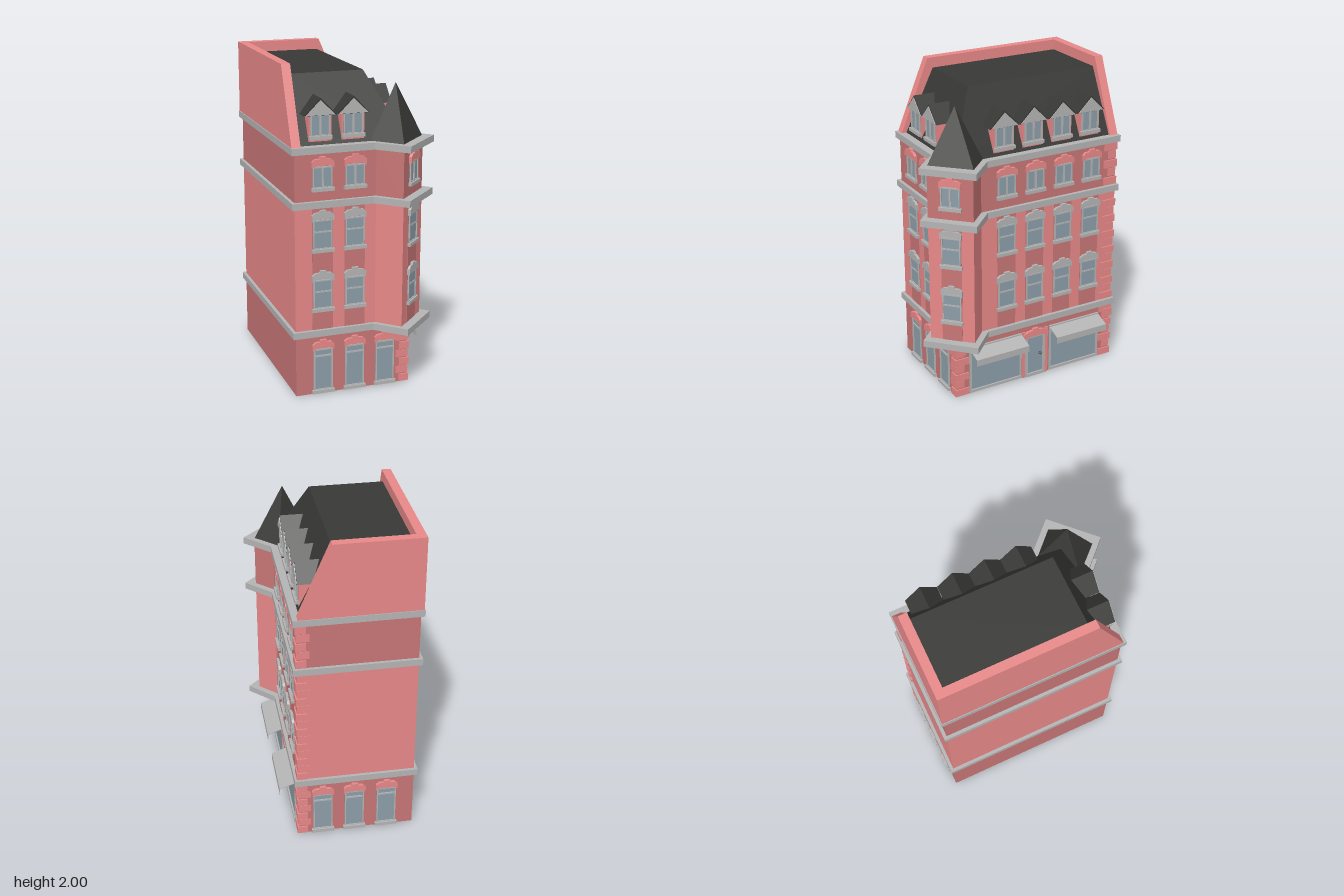
import * as THREE from 'three';
import { ConvexGeometry } from 'three/addons/geometries/ConvexGeometry.js';

const mat = (color) => new THREE.MeshStandardMaterial({ color, flatShading: true });
const M = {
  brick: mat(0xe88888), dark: mat(0xc87676), stone: mat(0xb4b4b4),
  glass: mat(0x8c9ea8), slate: mat(0x383836), knob: mat(0x555555),
};

function add(parent, name, geometry, material) {
  const mesh = new THREE.Mesh(geometry, material);
  mesh.name = name;
  parent.add(mesh);
  return mesh;
}

// Box given by its limits on each axis
function box(parent, name, material, [x0, x1], [y0, y1], [z0, z1]) {
  const g = new THREE.BoxGeometry(x1 - x0, y1 - y0, z1 - z0);
  g.translate((x0 + x1) / 2, (y0 + y1) / 2, (z0 + z1) / 2);
  return add(parent, name, g, material);
}

const polygon = (pts) => new THREE.Shape(pts.map(([x, y]) => new THREE.Vector2(x, y)));
const extrude = (pts, depth) => new THREE.ExtrudeGeometry(polygon(pts), { depth, bevelEnabled: false });
const hull = (pts) => new ConvexGeometry(pts.map((p) => new THREE.Vector3(...p)));

// Horizontal slab from an (x, z) outline
function slab(parent, name, material, pts, y0, y1) {
  const g = extrude(pts.map(([x, z]) => [x, -z]), y1 - y0);
  g.rotateX(-Math.PI / 2).translate(0, y0, 0);
  return add(parent, name, g, material);
}

// Group on a wall; local +z points out of the wall
function onWall(parent, name, x, y, z, turn) {
  const g = new THREE.Group();
  g.name = name;
  g.position.set(x, y, z);
  g.rotation.y = turn;
  parent.add(g);
  return g;
}

// Window of height h, with a casement, sash or tall pattern of bars
function buildWindow(g, h, kind, lintel) {
  const w = 0.06, t = 0.008;
  box(g, 'glass', M.glass, [-w, w], [0, h], [-0.01, 0.003]);
  for (const s of [-1, 1]) box(g, 'jamb', M.stone, s < 0 ? [-w, -w + t] : [w - t, w], [0, h], [0, 0.01]);
  box(g, 'head', M.stone, [-w, w], [h - t, h], [0, 0.01]);
  box(g, 'bottomRail', M.stone, [-w, w], [0, t], [0, 0.01]);
  if (kind === 'casement') box(g, 'mullion', M.stone, [-0.006, 0.006], [0, h], [0, 0.01]);
  else {
    const y = h * (kind === 'sash' ? 0.6 : 0.83);
    box(g, 'transom', M.stone, [-w, w], [y - 0.005, y + 0.005], [0, 0.01]);
    if (kind === 'sash') box(g, 'upperSash', M.glass, [-w + t, w - t], [y + 0.005, h - t], [0, 0.006]);
  }
  box(g, 'sill', M.stone, [-0.07, 0.07], [-0.017, 0.004], [-0.01, 0.02]);
  if (lintel) addLintel(g, h, lintel, 0.068);
}

// Shallow arched lintel with a raised keystone
function addLintel(g, y, material, w) {
  const half = [[w, -0.008], [w, 0.03], [0.05, 0.045], [0.022, 0.047], [0.018, 0.06]];
  const pts = [...half, ...half.map(([x, v]) => [-x, v]).reverse(), [-0.045, 0.006], [0.045, 0.006]];
  add(g, 'lintel', extrude(pts, 0.023), M[material]).position.set(0, y, -0.005);
}

// Dormer; local z = 0 is the foot of the roof slope
function buildDormer(g) {
  box(g, 'dormerWall', M.brick, [-0.07, 0.07], [0.015, 0.2], [-0.13, -0.012]);
  const win = onWall(g, 'dormerWindow', 0, 0.055, -0.012, 0);
  buildWindow(win, 0.13, 'casement');
  add(g, 'dormerRoof', extrude([[-0.1, 0.178], [0.1, 0.178], [0, 0.28]], 0.16), M.slate).position.z = -0.16;
  add(g, 'dormerGable', extrude([[-0.09, 0.18], [0.09, 0.18], [0, 0.268]], 0.006), M.stone).position.z = -0.002;
}

// Alternating corner stones at (0.28, z); dir points from the corner into the wall
function quoins(parent, z, dir, y0, y1) {
  const n = Math.round((y1 - y0) / 0.055), step = (y1 - y0) / n;
  for (let i = 0; i < n; i++) {
    const long = i % 2 === 0;
    const dz = long ? 0.085 : 0.055, dx = long ? 0.055 : 0.075, out = long ? 0.009 : 0.003;
    const zs = [z - dir * out, z + dir * dz].sort((a, b) => a - b);
    box(parent, 'quoin', M.brick, [0.28 - dx, 0.28 + out], [y0 + i * step + 0.004, y0 + (i + 1) * step - 0.004], zs);
  }
}

// Shop window with awning on the long side; zc is its centre
function buildShop(parent, zc) {
  const g = onWall(parent, 'shopFront', 0.28, 0, zc, Math.PI / 2), w = 0.187;
  box(g, 'shopGlass', M.glass, [-w, w], [0.02, 0.29], [-0.01, 0.004]);
  for (const s of [-1, 1]) box(g, 'shopJamb', M.stone, [s * (w - 0.006) - 0.006, s * (w - 0.006) + 0.006], [0.01, 0.3], [-0.005, 0.012]);
  box(g, 'shopSill', M.stone, [-w, w], [0.008, 0.026], [-0.005, 0.014]);
  box(g, 'shopHead', M.stone, [-w, w], [0.285, 0.33], [-0.005, 0.012]);
  const awning = extrude([[0, 0.326], [0.105, 0.288], [0.105, 0.245], [0.102, 0.245], [0.102, 0.285], [0, 0.321]], 2 * w);
  awning.rotateY(-Math.PI / 2).translate(w, 0, 0);
  add(g, 'awning', awning, M.stone);
}

export function createModel() {
  const model = new THREE.Group();
  model.name = 'cornerBuilding';

  // Walls, with the corner bay from the first floor up
  const bay = [[0.28, 0.3], [0.39, 0.41], [0.19, 0.61], [0.065, 0.485]];
  const upper = [[-0.44, 0.485], [-0.44, -0.655], [0.28, -0.655], ...bay];
  box(model, 'groundFloor', M.dark, [-0.44, 0.28], [0, 0.4], [-0.655, 0.485]);
  slab(model, 'middleFloors', M.brick, upper, 0.4, 1.2);
  slab(model, 'topFloor', M.dark, upper, 1.2, 1.52);

  // Stone bands
  const band = [[-0.46, 0.507], [-0.46, -0.675], [0.303, -0.675], [0.303, 0.268],
    [0.457, 0.424], [0.207, 0.67], [0.045, 0.507]];
  for (const y of [0.377, 1.178, 1.504]) slab(model, 'stoneBand', M.stone, band, y, y + 0.041);

  // Columns of windows: front, long side and corner bay
  const columns = [];
  for (const x of [-0.27, -0.068]) columns.push([x, 0.485, 0]);
  const sideZ = [0.128, -0.072, -0.273, -0.475];
  for (const z of sideZ) columns.push([0.28, z, Math.PI / 2]);
  columns.push([0.29, 0.51, Math.PI / 4]);
  for (const [x, z, turn] of columns) {
    const panel = onWall(model, 'windowPanel', x, 0, z, turn);
    box(panel, 'panel', M.dark, [-0.064, 0.064], [0.41, 1.18], [-0.01, 0.002]);
    for (const y of [0.55, 0.922]) buildWindow(onWall(model, 'sashWindow', x, y, z, turn), 0.182, 'sash', 'stone');
    buildWindow(onWall(model, 'topWindow', x, 1.295, z, turn), 0.13, 'casement', 'brick');
  }

  // Ground floor windows, front and back
  for (const x of [-0.27, -0.068, 0.13]) {
    buildWindow(onWall(model, 'groundWindow', x, 0.022, 0.485, 0), 0.27, 'tall', 'brick');
    buildWindow(onWall(model, 'groundWindow', x, 0.022, -0.655, Math.PI), 0.27, 'tall', 'brick');
  }

  // Shops and door on the long side
  buildShop(model, 0.207);
  buildShop(model, -0.375);
  const door = onWall(model, 'door', 0.28, 0, -0.082, Math.PI / 2);
  box(door, 'doorGlass', M.glass, [-0.062, 0.062], [0.02, 0.285], [-0.01, 0.004]);
  for (const s of [-1, 1]) {
    box(door, 'doorJamb', M.stone, [s * 0.064 - 0.008, s * 0.064 + 0.008], [0, 0.295], [-0.005, 0.012]);
    box(door, 'doorPier', M.brick, [s * 0.084 - 0.009, s * 0.084 + 0.009], [0, 0.33], [-0.005, 0.01]);
  }
  box(door, 'doorHead', M.stone, [-0.062, 0.062], [0.28, 0.295], [-0.005, 0.012]);
  box(door, 'doorStep', M.stone, [-0.062, 0.062], [0, 0.022], [-0.005, 0.014]);
  addLintel(door, 0.285, 'brick', 0.09);
  add(door, 'doorKnob', new THREE.SphereGeometry(0.011, 10, 8), M.knob).position.set(0.035, 0.155, 0.013);

  // Corner stones and their end brackets under the lowest band
  quoins(model, -0.655, 1, 0, 0.377);
  quoins(model, -0.655, 1, 0.418, 1.178);
  quoins(model, -0.655, 1, 1.219, 1.504);
  quoins(model, 0.485, -1, 0, 0.377);
  for (const z of [-0.63, 0.46]) box(model, 'bracket', M.brick, [0.25, 0.296], [0.29, 0.345], [z - 0.035, z + 0.035]);

  // Mansard roof
  const y0 = 1.54, y1 = 1.935;
  add(model, 'mansardRoof', hull([
    [-0.41, y0, -0.625], [0.26, y0, -0.625], [0.26, y0, 0.46], [-0.41, y0, 0.46],
    [-0.41, y1, -0.625], [0.06, y1, -0.625], [0.06, y1, 0.265], [-0.41, y1, 0.265],
  ]), M.slate);

  // Spire on the corner bay
  add(model, 'spire', hull([
    [0.04, y0, 0.45], [0.19, y0, 0.608], [0.39, y0, 0.405], [0.255, y0, 0.27], [0.204, 1.88, 0.428],
  ]), M.slate);

  // Dormers
  for (const x of [-0.27, -0.068]) buildDormer(onWall(model, 'dormer', x, y0, 0.46, 0));
  for (const z of sideZ) buildDormer(onWall(model, 'dormer', 0.26, y0, z, Math.PI / 2));

  // Parapet walls on the two blind sides
  const left = extrude([[-0.67, y0], [0.49, y0], [0.3, 2], [-0.67, 2]], 0.055);
  left.rotateY(-Math.PI / 2).translate(-0.4, 0, 0);
  add(model, 'leftParapet', left, M.brick);
  const back = extrude([[-0.455, y0], [0.275, y0], [0.077, 2], [-0.455, 2]], 0.055);
  add(model, 'backParapet', back, M.brick).position.z = -0.67;

  return model;
}
